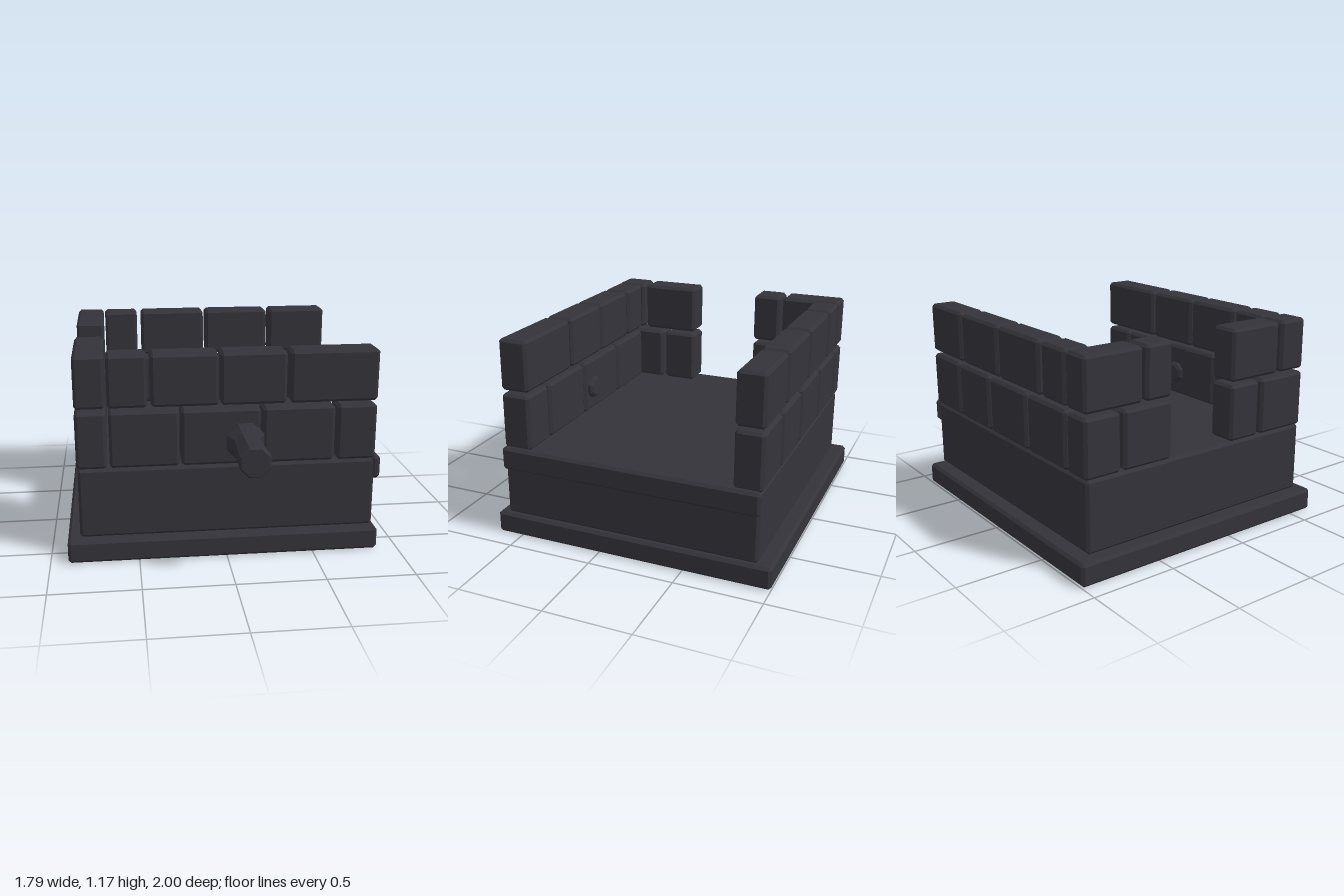
import * as THREE from 'three';
import { ConvexGeometry } from 'three/addons/geometries/ConvexGeometry.js';

const stone = new THREE.MeshStandardMaterial({ color: 0x34333a });
stone.name = 'darkStone';

// Box between two limits on each axis, with chamfered edges
function chamferBox(name, [x0, x1], [y0, y1], [z0, z1], c = 0.016) {
  const half = [(x1 - x0) / 2, (y1 - y0) / 2, (z1 - z0) / 2];
  const points = [];
  for (const sx of [-1, 1]) for (const sy of [-1, 1]) for (const sz of [-1, 1]) {
    for (let outer = 0; outer < 3; outer++) {
      const p = half.map((h, i) => (i === outer ? h : h - c));
      points.push(new THREE.Vector3(p[0] * sx, p[1] * sy, p[2] * sz));
    }
  }
  const mesh = new THREE.Mesh(new ConvexGeometry(points), stone);
  mesh.position.set((x0 + x1) / 2, (y0 + y1) / 2, (z0 + z1) / 2);
  mesh.name = name;
  return mesh;
}

// Octagonal handle pushed through the front wall
function createHandle() {
  const profile = [
    [0, 0.39], [0.05, 0.39], [0.068, 0.405], [0.068, 0.43], [0.068, 0.59], [0.085, 0.6],
    [0.113, 0.632], [0.113, 0.65], [0.076, 0.69], [0.09, 0.985], [0.08, 1.0], [0, 1.0],
  ].map(([r, z]) => new THREE.Vector2(r, z));
  const geometry = new THREE.LatheGeometry(profile, 8, Math.PI / 8).toNonIndexed();
  geometry.computeVertexNormals();
  geometry.rotateX(Math.PI / 2);
  const handle = new THREE.Mesh(geometry, stone);
  handle.position.set(0.1, 0.683, 0);
  handle.name = 'handle';
  return handle;
}

export function createModel() {
  const model = new THREE.Group();
  model.name = 'stoneEnclosure';

  // Plinth, solid body and the lip along the open side
  model.add(
    chamferBox('plinth', [-0.9, 0.88], [0, 0.13], [-1, 0.65]),
    chamferBox('body', [-0.83, 0.86], [0.13, 0.535], [-0.92, 0.59]),
    chamferBox('openSideLip', [0.845, 0.895], [0.415, 0.55], [-0.93, 0.59]),
  );

  const lower = [0.537, 0.86], upper = [0.88, 1.175];
  const front = [0.42, 0.59], back = [-0.93, -0.77], side = [-0.835, -0.665];

  // Courses running along x: row height, wall depth, brick extents
  const longCourses = [
    ['frontWallLower', lower, front, [[-0.65, -0.26], [-0.25, 0.195], [0.21, 0.62], [0.635, 0.86]]],
    ['frontWallUpper', upper, front, [[-0.655, -0.435], [-0.415, -0.04], [-0.03, 0.34], [0.36, 0.86]]],
    ['backWallLower', lower, back, [[-0.65, -0.28], [-0.26, 0.135], [0.16, 0.51], [0.53, 0.86]]],
    ['backWallUpper', upper, back, [[-0.655, -0.44], [-0.41, 0.015], [0.035, 0.455], [0.48, 0.86]]],
  ];
  for (const [name, row, depth, bricks] of longCourses) {
    const wall = new THREE.Group();
    wall.name = name;
    bricks.forEach((span) => wall.add(chamferBox('brick', span, row, depth)));
    model.add(wall);
  }

  // Courses running along z, with a doorway between the two halves
  const sideCourses = [
    ['sideWallLower', lower, [[0.27, 0.595], [0.04, 0.25], [-0.69, -0.38], [-0.93, -0.71]]],
    ['sideWallUpper', upper, [[0.41, 0.595], [0.04, 0.39], [-0.55, -0.38], [-0.93, -0.57]]],
  ];
  for (const [name, row, bricks] of sideCourses) {
    const wall = new THREE.Group();
    wall.name = name;
    bricks.forEach((span) => wall.add(chamferBox('brick', side, row, span)));
    model.add(wall);
  }

  model.add(createHandle());
  return model;
}
